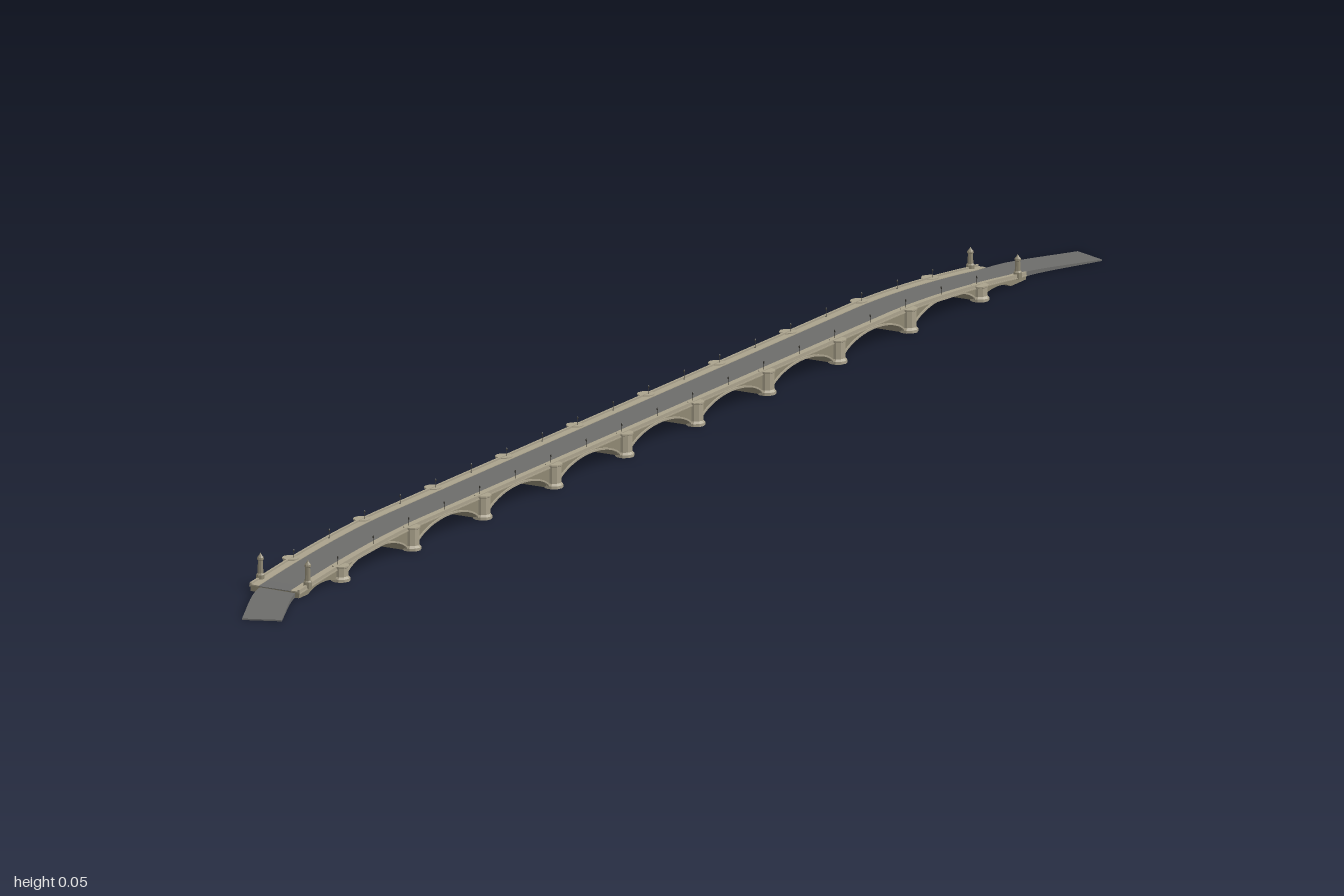
import * as THREE from 'three';

const mat = (color) => new THREE.MeshStandardMaterial({ color, flatShading: true, side: THREE.DoubleSide });
const stone = mat(0x8f8873), paleStone = mat(0xaaa28c), roadGrey = mat(0x6c6c6a), iron = mat(0x3c3a34);

const PITCH = 0.187;              // distance between piers
const S0 = -0.95, S1 = 0.965;     // ends of the bridge along its axis
const HALF = 0.039;               // half width of the bridge
const pierAt = (i) => (i - 4.5) * PITCH;

// Deck height: level in the middle, sloping down to both banks
function deckY(s) {
  const t = Math.max(0, (Math.abs(s) - 0.62) / 0.335);
  return 0.030 - 0.023 * Math.min(1, t ** 1.7);
}

// Underside of the arches, zero over each pier
function archY(s) {
  const bay = Math.round(s / PITCH);
  if (Math.abs(bay) > 4) {
    const u = (Math.abs(s) - 4.5 * PITCH - 0.045) / 0.036;
    return Math.abs(u) < 1 ? 0.008 * (1 - u * u) ** 0.6 : 0;
  }
  const u = (s - bay * PITCH) / 0.084;
  return Math.abs(u) < 1 ? Math.min(0.025 * (1 - u * u) ** 0.65, deckY(s) - 0.003) : 0;
}

// Solid between two height functions along the axis, from z0 to z1
function band(name, s0, s1, bottom, top, z0, z1, material, steps = 240) {
  const shape = new THREE.Shape();
  const at = (i) => s0 + ((s1 - s0) * i) / steps;
  shape.moveTo(s0, bottom(s0));
  for (let i = 1; i <= steps; i++) shape.lineTo(at(i), bottom(at(i)));
  for (let i = steps; i >= 0; i--) shape.lineTo(at(i), top(at(i)));
  const geo = new THREE.ExtrudeGeometry(shape, { depth: z1 - z0, bevelEnabled: false });
  geo.translate(0, 0, z0);
  const mesh = new THREE.Mesh(geo, material);
  mesh.name = name;
  return mesh;
}

// Road strip of box section following a path of [x, y, z] points
function approach(name, pts, halfWidth) {
  const curve = new THREE.CatmullRomCurve3(pts.map((p) => new THREE.Vector3(...p)));
  const pos = [], idx = [], n = 14;
  for (let i = 0; i <= n; i++) {
    const p = curve.getPoint(i / n), t = curve.getTangent(i / n);
    const len = Math.hypot(t.x, t.z), nx = (-t.z / len) * halfWidth, nz = (t.x / len) * halfWidth;
    for (const [k, y] of [[-1, p.y], [1, p.y], [1, 0], [-1, 0]]) pos.push(p.x + k * nx, y, p.z + k * nz);
    for (let j = 0; j < 4 && i < n; j++) {
      const a = i * 4 + j, b = i * 4 + ((j + 1) % 4);
      idx.push(a, b, a + 4, b, b + 4, a + 4);
    }
  }
  const e = n * 4;
  idx.push(0, 2, 1, 0, 3, 2, e, e + 1, e + 2, e, e + 2, e + 3);
  const geo = new THREE.BufferGeometry();
  geo.setAttribute('position', new THREE.Float32BufferAttribute(pos, 3));
  geo.setIndex(idx);
  geo.computeVertexNormals();
  const mesh = new THREE.Mesh(geo, roadGrey);
  mesh.name = name;
  return mesh;
}

// Turned part from [radius, height] pairs
function turned(name, profile, sides, material, x, y, z) {
  const geo = new THREE.LatheGeometry(profile.map(([r, h]) => new THREE.Vector2(r, h)), sides);
  const mesh = new THREE.Mesh(geo, material);
  mesh.name = name;
  mesh.position.set(x, y, z);
  return mesh;
}

export function createModel() {
  const root = new THREE.Group();
  root.name = 'archBridge';
  const bridge = new THREE.Group();
  bridge.name = 'bridge';
  bridge.rotation.y = THREE.MathUtils.degToRad(25);
  bridge.position.set(-0.028, 0, -0.037);
  root.add(bridge);

  // Arched body and carriageway
  bridge.add(band('archedBody', S0, S1, archY, deckY, -HALF + 0.001, HALF - 0.001, stone));
  bridge.add(band('roadway', S0, S1, deckY, (s) => deckY(s) + 0.0008, -0.025, 0.025, roadGrey, 80));

  for (const side of [-1, 1]) {
    const strip = (name, a, b, lo, hi, material) => bridge.add(band(name, S0, S1,
      (s) => deckY(s) + lo, (s) => deckY(s) + hi, Math.min(side * a, side * b), Math.max(side * a, side * b), material, 80));
    // Pavement, parapet and string course
    strip('pavement', 0.025, 0.036, 0, 0.0016, paleStone);
    strip('parapet', 0.036, HALF, -0.001, 0.004, paleStone);
    strip('stringCourse', HALF - 0.001, HALF + 0.001, -0.0018, -0.0003, paleStone);

    // Raised rings around the arches
    for (let bay = -4; bay <= 4; bay++) {
      const c = bay * PITCH, z = side * HALF;
      bridge.add(band('archRing', c - 0.084, c + 0.084, archY,
        (s) => Math.min(archY(s) + 0.0025, deckY(s) - 0.001), z - 0.0012, z + 0.0012, paleStone, 24));
    }

    // Rounded cutwaters with small caps, rising to the parapet
    for (let i = 0; i < 10; i++) {
      const s = pierAt(i), h = deckY(s) + 0.003;
      bridge.add(turned('pierCutwater', [[0, 0], [0.013, 0], [0.013, 0.004], [0.0105, 0.007],
        [0.0105, h - 0.003], [0.012, h - 0.002], [0.012, h], [0, h]], 10, paleStone, s, 0, side * 0.039));
    }

    // Lamp posts
    for (let i = 0; i < 19; i++) {
      const s = pierAt(i / 2);
      bridge.add(turned('lampPost', [[0.0012, 0], [0.0006, 0.002], [0.0005, 0.010], [0.0013, 0.0115],
        [0.001, 0.013], [0, 0.014]], 6, iron, s, deckY(s) + 0.001, side * 0.0345));
    }

    // End pillars at both entrances
    for (const [s, h] of [[-0.925, 0.040], [0.945, 0.034]]) {
      bridge.add(turned('entrancePillar', [[0, 0], [0.006, 0], [0.006, 0.009], [0.0042, 0.011],
        [0.0034, h * 0.72], [0.0048, h * 0.75], [0.0044, h * 0.82], [0.0015, h * 0.92], [0, h]],
      8, stone, s, deckY(s) - 0.002, side * 0.037));
    }
  }

  // Curving approach roads
  root.add(approach('rightApproach', [[-0.868, 0.008, 0.355], [-0.9, 0.006, 0.379], [-0.979, 0.002, 0.466]], 0.027));
  root.add(approach('leftApproach', [[0.83, 0.008, -0.437], [0.88, 0.006, -0.453], [1.0, 0.002, -0.459]], 0.027));
  return root;
}
